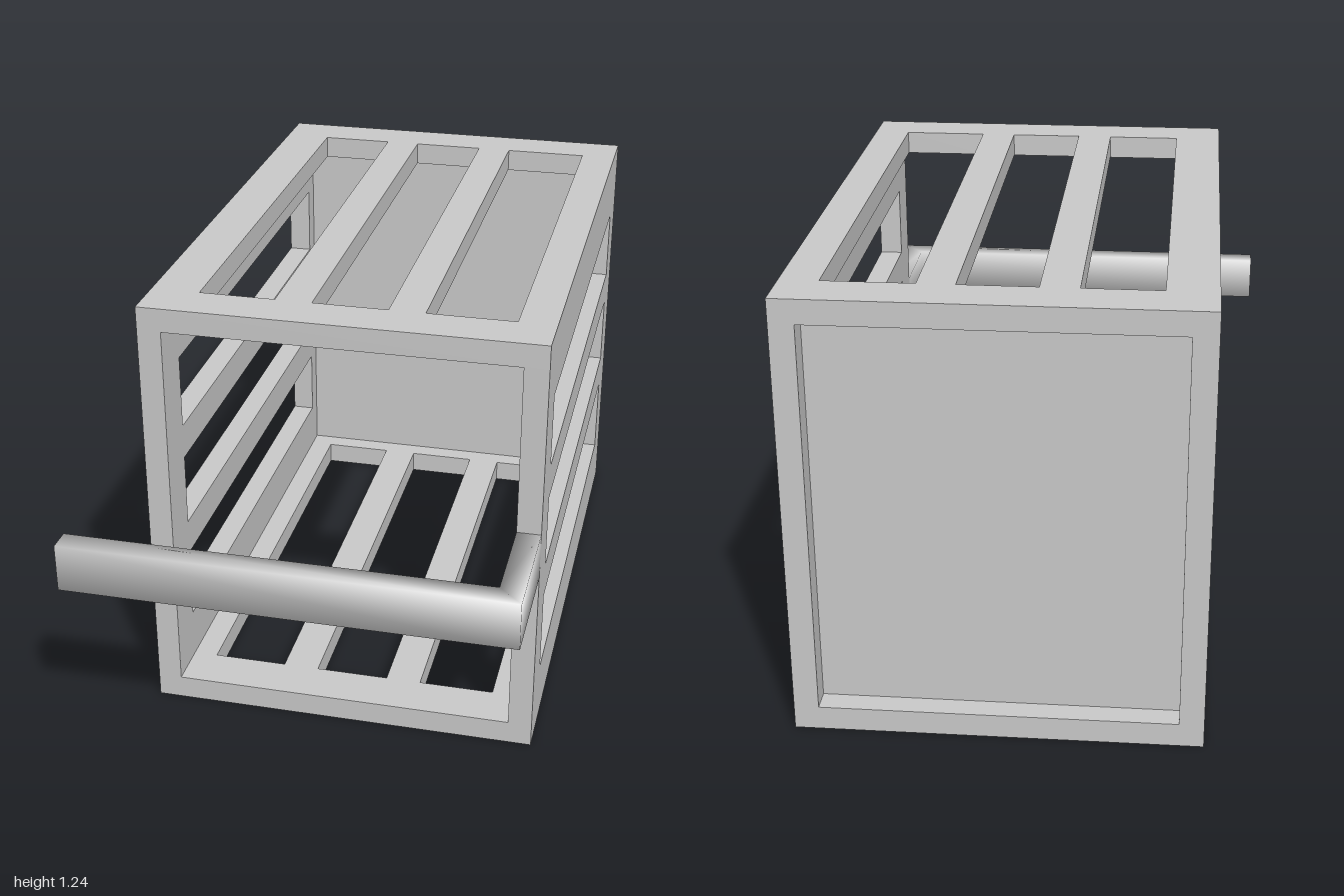
import * as THREE from 'three';
import { mergeVertices } from 'three/addons/utils/BufferGeometryUtils.js';

export function createModel() {
  const group = new THREE.Group();
  const material = new THREE.MeshStandardMaterial({ color: 0xcccccc });

  const X0 = -0.485, X1 = 0.617, Y1 = 1.24, Z0 = -1, Z1 = 0.655, T = 0.067;

  const add = (name, geometry) => {
    const mesh = new THREE.Mesh(geometry, material);
    mesh.name = name;
    group.add(mesh);
    return mesh;
  };

  const outline = (a, b, c, d) =>
    [[a, c], [b, c], [b, d], [a, d]].map(([u, v]) => new THREE.Vector2(u, v));

  // Flat panel running the length of the crate, with long slots cut through
  const slotted = (u0, u1, slots) => {
    const shape = new THREE.Shape(outline(u0, u1, Z0, Z1));
    for (const [a, b] of slots) {
      shape.holes.push(new THREE.Path(outline(a, b, -0.865, 0.523).reverse()));
    }
    return new THREE.ExtrudeGeometry(shape, { depth: T, bevelEnabled: false });
  };

  // Top and bottom panels
  const across = [[-0.35, -0.14], [-0.038, 0.17]];
  add('topPanel', slotted(X0, X1, [...across, [0.27, 0.513]]).rotateX(Math.PI / 2)).position.y = Y1;
  add('bottomPanel', slotted(X0, X1, [...across, [0.27, 0.484]]).rotateX(Math.PI / 2)).position.y = T;

  // Side panels stand between them
  const upright = new THREE.Matrix4().makeBasis(
    new THREE.Vector3(0, 1, 0), new THREE.Vector3(0, 0, 1), new THREE.Vector3(1, 0, 0));
  const rows = [[0.52, 0.73], [0.83, 1.04]];
  add('leftPanel', slotted(T, Y1 - T, [[0.18, 0.418], ...rows]).applyMatrix4(upright)).position.x = X1 - T;
  add('rightPanel', slotted(T, Y1 - T, [[0.21, 0.418], ...rows]).applyMatrix4(upright)).position.x = X0;

  // Thin back panel, recessed into the frame
  add('backPanel', new THREE.BoxGeometry(X1 - X0 - 2 * T, Y1 - 2 * T, 0.01))
    .position.set((X0 + X1) / 2, Y1 / 2, -0.93);

  // L-shaped handle with shared vertices, so its shading is soft
  const bar = new THREE.Shape([
    [0.55, Z1], [X1, Z1], [X1, 1], [-0.62, 1], [-0.62, 0.933], [0.55, 0.933],
  ].map(([x, z]) => new THREE.Vector2(x, z)));
  let handle = new THREE.ExtrudeGeometry(bar, { depth: 0.135, bevelEnabled: false });
  handle.rotateX(Math.PI / 2);
  handle.deleteAttribute('normal');
  handle.deleteAttribute('uv');
  handle = mergeVertices(handle);
  handle.computeVertexNormals();
  add('handle', handle).position.y = 0.69;

  return group;
}
